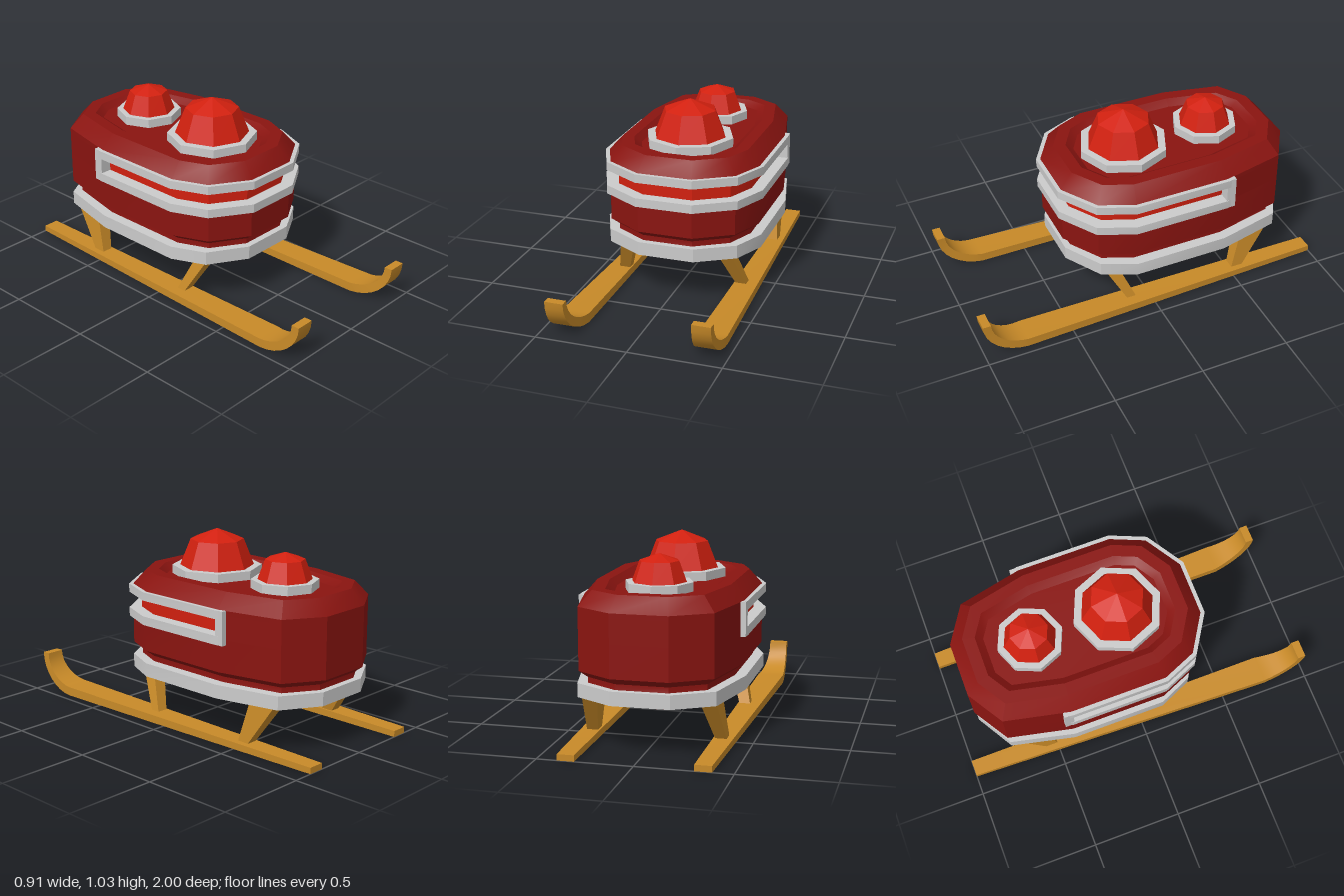
import * as THREE from 'three';
import { toCreasedNormals } from 'three/addons/utils/BufferGeometryUtils.js';

const mat = (color, extra = {}) => new THREE.MeshStandardMaterial({ color, ...extra });
const darkRed = mat(0x8a1410);
const red = mat(0xd2200f);
const redFlat = mat(0xd2200f, { flatShading: true });
const grey = mat(0xcccccc);
const greyFlat = mat(0xcccccc, { flatShading: true });
const wood = mat(0xc88a28);

// Plan of the cabin as [x, z], running anticlockwise seen from above
const half = [[0.15, 0.43], [0.35, 0.305], [0.428, 0.12], [0.428, -0.41], [0.35, -0.765], [0.15, -0.89]];
const plan = [...half, ...half.map(([x, z]) => [-x, z]).reverse()];

// Move every edge of a plan inwards by d, keeping mitred corners
function inset(ring, d) {
  const n = ring.length;
  const normal = (a, b) => {
    const l = Math.hypot(b[0] - a[0], b[1] - a[1]);
    return [(b[1] - a[1]) / l, -(b[0] - a[0]) / l];
  };
  return ring.map((p, i) => {
    const u = normal(ring[(i + n - 1) % n], p);
    const v = normal(p, ring[(i + 1) % n]);
    const k = d / (1 + u[0] * v[0] + u[1] * v[1]);
    return [p[0] + (u[0] + v[0]) * k, p[1] + (u[1] + v[1]) * k];
  });
}

// Keep the part of a plan in front of (side 1) or behind (side -1) z = cut
function clip(ring, cut, side) {
  const out = [];
  ring.forEach((a, i) => {
    const b = ring[(i + 1) % ring.length];
    const da = (a[1] - cut) * side, db = (b[1] - cut) * side;
    if (da >= 0) out.push(a);
    if (da * db < 0) {
      const t = da / (da - db);
      out.push([a[0] + (b[0] - a[0]) * t, cut]);
    }
  });
  return out;
}

// Skin a row of convex rings of [x, y, z] and cap both ends
function loft(rings, crease = 0.5) {
  const pos = [];
  const tri = (...p) => p.forEach(v => pos.push(...v));
  const n = rings[0].length;
  for (let k = 0; k < rings.length - 1; k++) {
    const a = rings[k], b = rings[k + 1];
    for (let i = 0; i < n; i++) {
      const j = (i + 1) % n;
      tri(a[i], a[j], b[j]);
      tri(a[i], b[j], b[i]);
    }
  }
  const first = rings[0], last = rings[rings.length - 1];
  for (let i = 1; i < n - 1; i++) {
    tri(first[0], first[i + 1], first[i]);
    tri(last[0], last[i], last[i + 1]);
  }
  const g = new THREE.BufferGeometry();
  g.setAttribute('position', new THREE.Float32BufferAttribute(pos, 3));
  return toCreasedNormals(g, crease);
}

const level = (ring, y) => ring.map(([x, z]) => [x, y, z]);
const layers = list => loft(list.map(([y, d]) => level(inset(plan, d), y)));
const slab = (ring, y0, y1) => loft([level(ring, y0), level(ring, y1)]);
const mirror = ring => ring.map(([x, y, z]) => [-x, y, z]).reverse();

export function createModel() {
  const model = new THREE.Group();
  const add = (name, geometry, material, parent = model) => {
    const mesh = new THREE.Mesh(geometry, material);
    mesh.name = name;
    parent.add(mesh);
    return mesh;
  };

  // Cabin: lower hull, sunken roof and the solid rear between them
  add('lowerHull', layers([[0.258, 0.02], [0.33, 0.045], [0.365, 0.045], [0.4, 0], [0.575, 0]]), darkRed);
  add('roof', layers([[0.705, 0], [0.73, 0], [0.81, 0.07], [0.81, 0.135], [0.78, 0.175]]), darkRed);
  add('rearWall', slab(clip(plan, -0.43, -1), 0.575, 0.705), darkRed);

  // Wraparound window with its frame
  add('window', slab(clip(inset(plan, 0.045), -0.44, 1), 0.57, 0.71), red);
  const frame = clip(inset(plan, -0.021), -0.455, 1);
  add('windowFrameLower', slab(frame, 0.55, 0.598), grey);
  add('windowFrameUpper', slab(frame, 0.685, 0.731), grey);
  for (const s of [1, -1]) {
    add('windowFramePost', new THREE.BoxGeometry(0.07, 0.18, 0.05), grey).position.set(s * 0.411, 0.64, -0.43);
  }

  // Bumper round the foot of the cabin
  add('bumper', slab(plan.map(([x, z]) => [x * 1.03, (z + 0.23) * 0.985 - 0.23]), 0.261, 0.335), grey);

  // Faceted roof domes on octagonal collars
  for (const [name, z, collar, base, shoulder, yShoulder, yTop] of [
    ['frontDome', 0.005, 0.245, 0.205, 0.145, 0.972, 1.03],
    ['rearDome', -0.485, 0.18, 0.148, 0.105, 0.935, 0.972],
  ]) {
    const dome = new THREE.Group();
    dome.name = name;
    dome.position.z = z;
    add('collar', new THREE.CylinderGeometry(collar, collar, 0.05, 8), greyFlat, dome).position.y = 0.803;
    const h = yShoulder - 0.82;
    add('domeSides', new THREE.CylinderGeometry(shoulder, base, h, 8, 1, true), redFlat, dome).position.y = 0.82 + h / 2;
    const cap = yTop - yShoulder;
    add('domeCap', new THREE.ConeGeometry(shoulder, cap, 8, 1, true), redFlat, dome).position.y = yShoulder + cap / 2;
    model.add(dome);
  }

  // Ski sections from the tail to the curled tip
  const skiRing = (x0, x1, low, high) => [
    [x0, low[0], low[1]], [x1, low[0], low[1]], [x1, high[0], high[1]], [x0, high[0], high[1]],
  ];
  const skiRings = [skiRing(0.303, 0.392, [0, -1], [0.033, -1])];
  const steps = 8;
  for (let i = 0; i <= steps; i++) {
    const t = i / steps, a = t * Math.PI / 2;
    const s = Math.sin(a), c = Math.cos(a);
    skiRings.push(skiRing(
      0.303 + 0.036 * s, 0.453 - 0.013 * s,
      [0.21 - 0.21 * c, 0.76 + 0.24 * s],
      [0.21 - 0.16 * c, 0.755 + 0.2 * s],
    ));
  }

  // Struts as [x inner, x outer, z front, z back] at the ski and at the cabin
  const strutRing = ([x0, x1, zf, zb], y) => [[x0, y, zf], [x1, y, zf], [x1, y, zb], [x0, y, zb]];
  const struts = {
    frontStrut: [[0.315, 0.375, 0.14, 0.09], [0.23, 0.31, 0.275, 0.195]],
    rearStrut: [[0.315, 0.375, -0.5, -0.565], [0.265, 0.35, -0.565, -0.73]],
  };

  for (const [side, flip] of [['left', r => r], ['right', mirror]]) {
    add(side + 'Ski', loft(skiRings.map(flip)), wood);
    for (const [name, [foot, head]] of Object.entries(struts)) {
      add(side + name[0].toUpperCase() + name.slice(1),
        loft([strutRing(foot, 0.03), strutRing(head, 0.275)].map(flip)), wood);
    }
  }
  return model;
}
